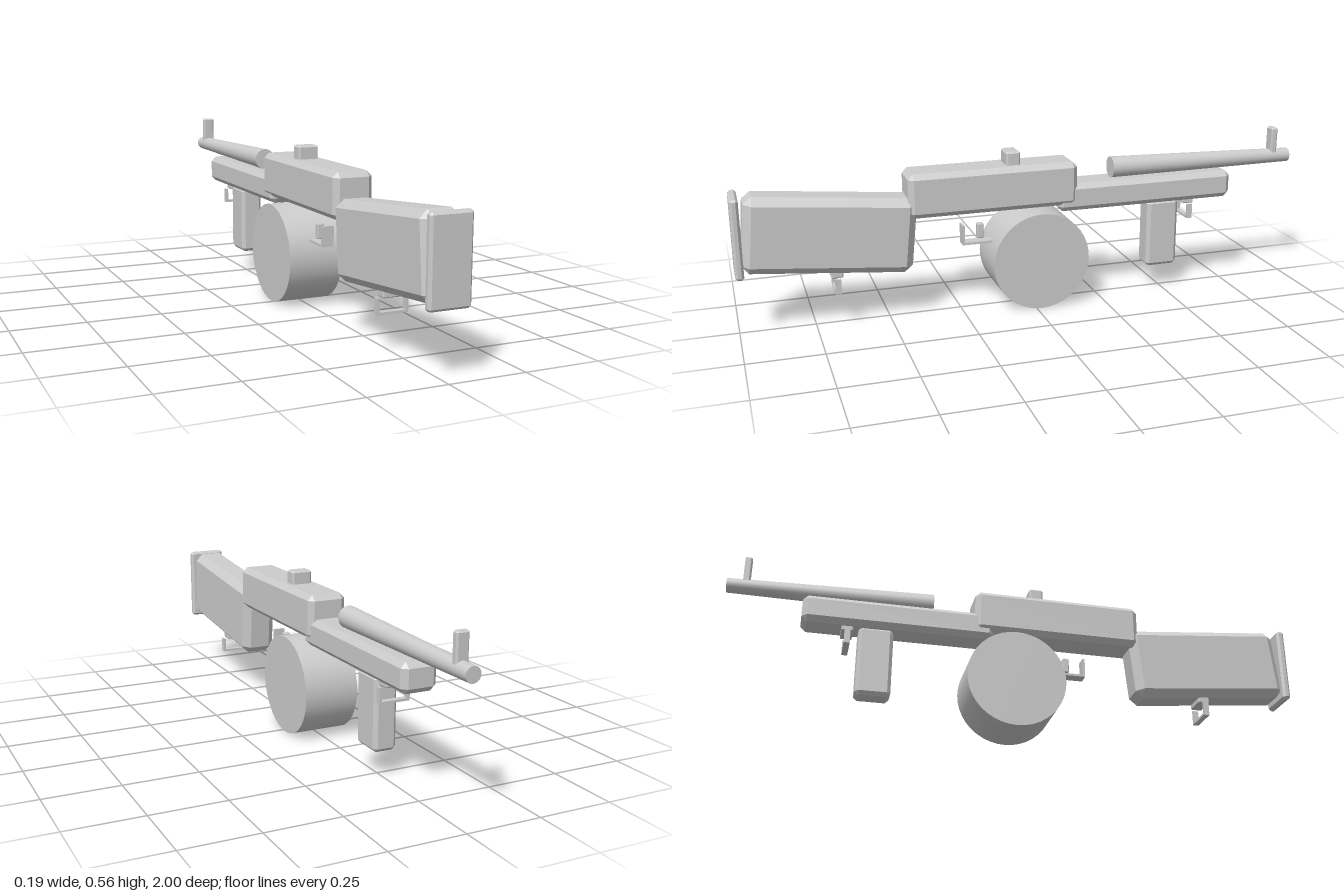
import * as THREE from 'three';
import { ConvexGeometry } from 'three/addons/geometries/ConvexGeometry.js';

const material = new THREE.MeshStandardMaterial({ color: 0xcccccc });

// Box with every edge and corner bevelled by c
function bevelBox(w, h, d, c) {
  const points = [];
  for (const sx of [-1, 1]) for (const sy of [-1, 1]) for (const sz of [-1, 1]) {
    const x = w / 2, y = h / 2, z = d / 2;
    points.push(
      new THREE.Vector3(sx * x, sy * (y - c), sz * (z - c)),
      new THREE.Vector3(sx * (x - c), sy * y, sz * (z - c)),
      new THREE.Vector3(sx * (x - c), sy * (y - c), sz * z));
  }
  return new ConvexGeometry(points);
}

function add(parent, name, geometry, x, y, z) {
  const mesh = new THREE.Mesh(geometry, material);
  mesh.name = name;
  mesh.position.set(x, y, z);
  parent.add(mesh);
  return mesh;
}

// Box spanning y0..y1 and z0..z1, centred on x
function block(parent, name, w, y0, y1, z0, z1, c) {
  const geometry = c ? bevelBox(w, y1 - y0, z1 - z0, c) : new THREE.BoxGeometry(w, y1 - y0, z1 - z0);
  return add(parent, name, geometry, 0, (y0 + y1) / 2, (z0 + z1) / 2);
}

// Sling loop: a mounting bar with a thin U hanging below it
function slingLoop(parent, name, y, z) {
  const loop = new THREE.Group();
  loop.name = name;
  loop.position.set(0, y, z);
  parent.add(loop);
  block(loop, 'loopMount', 0.075, -0.014, 0.012, -0.02, 0.02, 0.003);
  block(loop, 'loopBottom', 0.104, -0.066, -0.058, -0.01, 0.01);
  for (const side of [-1, 1])
    add(loop, 'loopArm', new THREE.BoxGeometry(0.008, 0.052, 0.02), side * 0.048, -0.04, 0);
}

export function createModel() {
  const model = new THREE.Group();
  model.name = 'model';

  // Shoulder stock, rising toward the back
  const stock = add(model, 'stock', bevelBox(0.126, 0.258, 0.56, 0.026), 0, 0.32, 0.69);
  stock.rotation.x = -0.097;
  block(model, 'buttPlate', 0.136, 0.205, 0.475, 0.972, 1.0, 0.008);

  // Main body
  block(model, 'receiver', 0.136, 0.355, 0.507, -0.158, 0.432, 0.018);
  block(model, 'foreEnd', 0.12, 0.33, 0.427, -0.745, -0.09, 0.018);
  block(model, 'foreGrip', 0.08, 0.088, 0.335, -0.552, -0.434, 0.012);

  // Tapered barrel
  const barrel = add(model, 'barrel', new THREE.CylinderGeometry(0.037, 0.025, 0.7, 32), 0, 0.459, -0.65);
  barrel.rotation.x = Math.PI / 2 - 0.011;

  // Sights
  block(model, 'rearSight', 0.072, 0.5, 0.553, 0.041, 0.09, 0.006);
  block(model, 'frontSight', 0.042, 0.46, 0.563, -0.948, -0.924, 0.005);

  // Drum lying across the body
  const drum = add(model, 'drum', new THREE.CylinderGeometry(0.171, 0.171, 0.192, 40), 0, 0.172, -0.018);
  drum.rotation.z = Math.PI / 2;

  // Trigger and its guard
  block(model, 'guardBottom', 0.042, 0.234, 0.242, 0.12, 0.243);
  block(model, 'guardBack', 0.042, 0.234, 0.303, 0.235, 0.243);
  block(model, 'trigger', 0.022, 0.25, 0.303, 0.166, 0.188, 0.003);

  slingLoop(model, 'rearSlingLoop', 0.184, 0.675);
  slingLoop(model, 'frontSlingLoop', 0.328, -0.59);

  return model;
}
